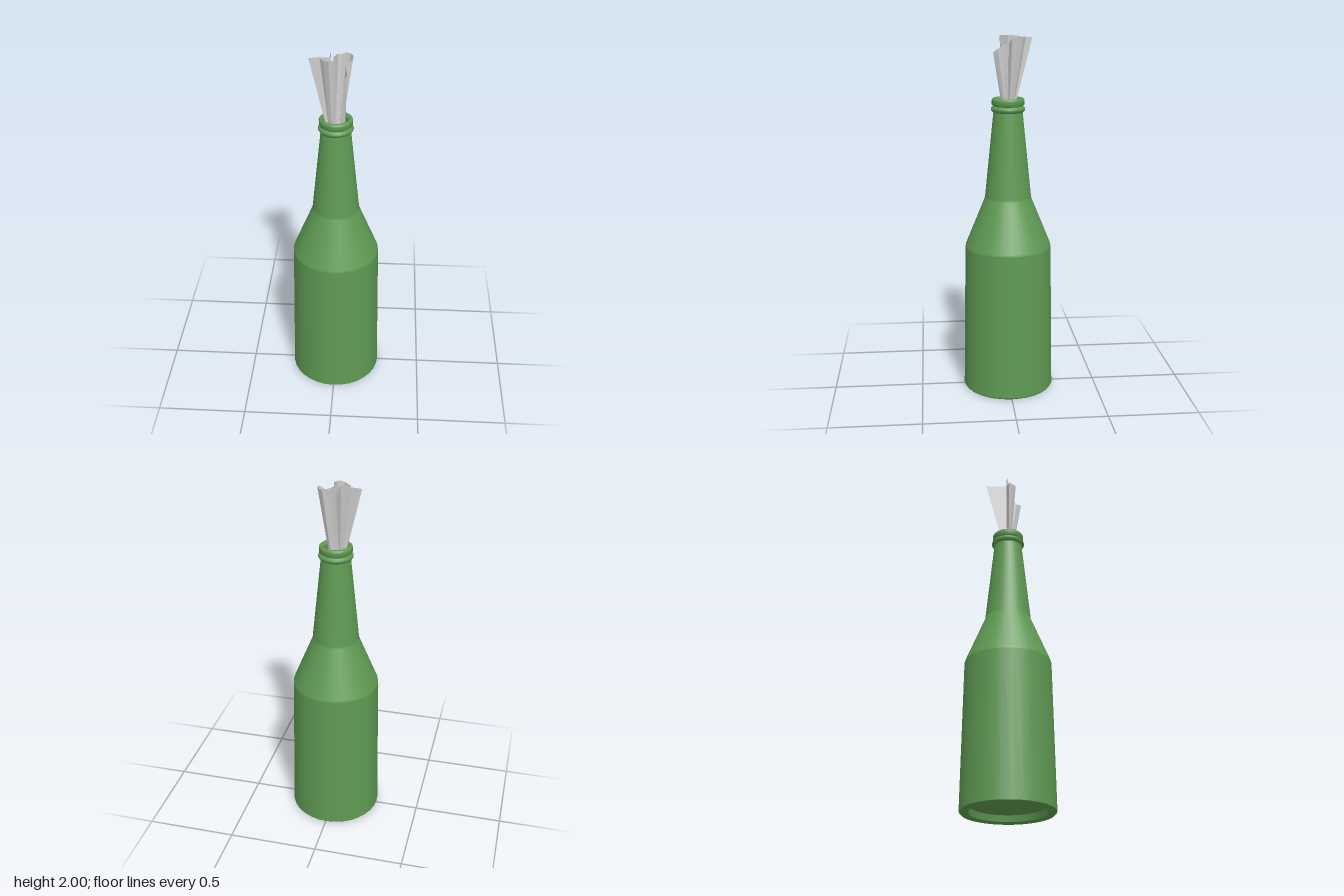
import * as THREE from 'three';

const green = new THREE.MeshStandardMaterial({ color: 0x5f9a53 });
const cloth = new THREE.MeshStandardMaterial({ color: 0xcccccc, side: THREE.DoubleSide });

// Turned part from [radius, height] pairs, listed so that the outside faces out
function turned(name, profile) {
  const points = profile.map(([r, y]) => new THREE.Vector2(r, y));
  const mesh = new THREE.Mesh(new THREE.LatheGeometry(points, 32), green);
  mesh.name = name;
  return mesh;
}

// Pleated sheet: each row holds the top corner x, y, z and the lower corner x, z
function pleats(name, rows, lowY) {
  const position = [], index = [];
  rows.forEach(([x, y, z, lowX, lowZ], i) => {
    position.push(x, y, z, lowX, lowY, lowZ);
    const a = 2 * i;
    if (i) index.push(a - 2, a - 1, a, a, a - 1, a + 1);
  });
  const geometry = new THREE.BufferGeometry();
  geometry.setAttribute('position', new THREE.Float32BufferAttribute(position, 3));
  geometry.setIndex(index);
  const flat = geometry.toNonIndexed();
  flat.computeVertexNormals();
  const mesh = new THREE.Mesh(flat, cloth);
  mesh.name = name;
  return mesh;
}

export function createModel() {
  const group = new THREE.Group();
  group.name = 'bottleWithRag';

  // Hollow base, foot, tapered body, shoulder and neck
  group.add(
    turned('baseRecess', [[0, 0.04], [0.2, 0.04]]),
    turned('baseWall', [[0.2, 0.04], [0.207, 0.005]]),
    turned('foot', [[0.207, 0.005], [0.213, 0], [0.248, 0], [0.255, 0.008]]),
    turned('body', [[0.255, 0.008], [0.241, 0.83]]),
    turned('shoulder', [[0.241, 0.83], [0.239, 0.842], [0.133, 1.1], [0.129, 1.115]]),
    turned('neck', [[0.129, 1.115], [0.08, 1.59]]),
  );

  // Collar ring, rounded lip and the inside of the mouth
  group.add(
    turned('collarRing', [[0.078, 1.585], [0.087, 1.59], [0.094, 1.6], [0.094, 1.608], [0.088, 1.617], [0.08, 1.62]]),
    turned('lip', [[0.08, 1.62], [0.089, 1.628], [0.09, 1.65], [0.088, 1.658], [0.081, 1.664], [0.07, 1.662], [0.062, 1.652]]),
    turned('mouth', [[0.062, 1.652], [0.062, 1.58]]),
    turned('mouthFloor', [[0.062, 1.58], [0, 1.58]]),
  );

  // Crumpled rag flaring out of the mouth
  group.add(pleats('rag', [
    [-0.14, 1.985, -0.015, -0.045, -0.006],
    [-0.09, 1.99, -0.018, -0.035, -0.01],
    [-0.03, 1.995, -0.008, -0.022, -0.006],
    [-0.035, 1.985, -0.135, -0.024, -0.03],
    [-0.026, 1.995, -0.01, -0.02, -0.004],
    [-0.08, 1.99, 0, -0.035, 0],
    [-0.062, 1.99, 0.024, -0.028, 0.006],
    [-0.035, 1.995, 0.044, -0.02, 0.012],
    [-0.005, 2, 0.045, -0.01, 0.014],
    [0.014, 2, 0.015, 0, 0.006],
    [-0.012, 2, 0, -0.008, -0.002],
    [0.008, 1.995, -0.06, 0, -0.015],
    [0.026, 1.99, -0.066, 0.008, -0.018],
    [0.05, 1.99, -0.09, 0.018, -0.022],
    [0.072, 1.99, -0.076, 0.026, -0.016],
    [0.086, 1.99, -0.045, 0.03, -0.008],
    [0.084, 1.985, -0.015, 0.03, -0.002],
    [0.05, 1.96, 0, 0.016, 0],
    [0.052, 1.95, 0.03, 0.035, 0.008],
    [0.06, 1.93, 0.06, 0.048, 0.016],
    [0.042, 1.91, 0.083, 0.03, 0.03],
  ], 1.58));

  return group;
}
